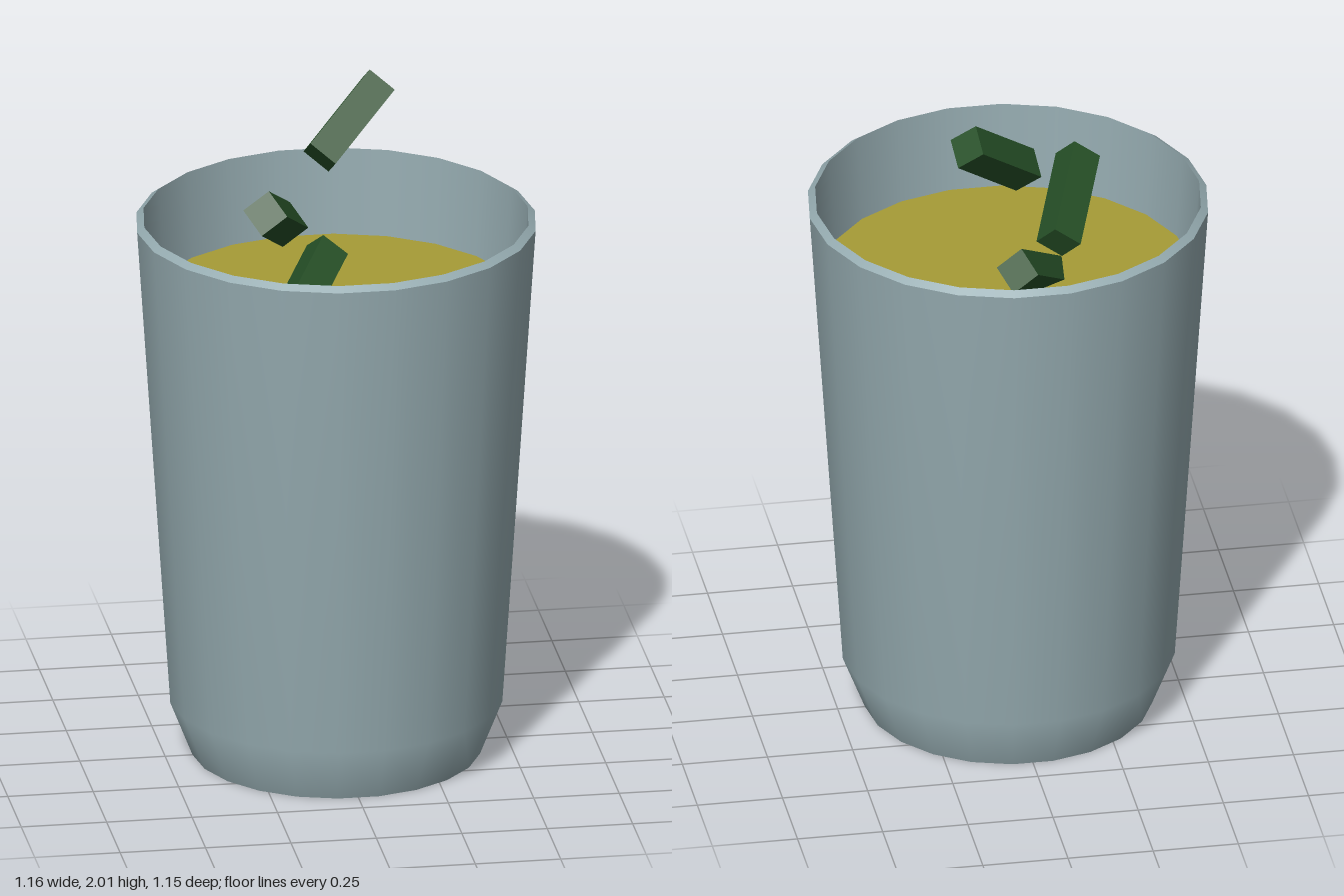
import * as THREE from 'three';

const SIDES = 22;

export function createModel() {
  const model = new THREE.Group();
  const material = (name, color) => {
    const m = new THREE.MeshStandardMaterial({ color });
    m.name = name;
    return m;
  };
  const cupGrey = material('cup grey', 0x95abb0);
  const liquidYellow = material('liquid yellow', 0xa69c36);
  const stickGreen = material('stick green', 0x265027);

  const add = (parent, name, geometry, mat) => {
    const mesh = new THREE.Mesh(geometry, mat);
    mesh.name = name;
    parent.add(mesh);
    return mesh;
  };

  // Cup: each smooth band is its own lathe so the creases stay sharp
  const cup = new THREE.Group();
  cup.name = 'cup';
  model.add(cup);
  const band = (name, points, mat = cupGrey) => add(cup, name,
    new THREE.LatheGeometry(points.map(([r, y]) => new THREE.Vector2(r, y)), SIDES, Math.PI / 2), mat);
  band('base', [[0, 0], [0.42, 0]]);
  band('outerWall', [[0.42, 0], [0.485, 0.165], [0.582, 1.625]]);
  band('rim', [[0.582, 1.625], [0.561, 1.64]]);
  band('innerWall', [[0.561, 1.64], [0.465, 0.18]]);
  band('innerFloor', [[0.465, 0.18], [0, 0.18]]);
  band('liquid', [[0.544, 1.38], [0, 1.38]], liquidYellow);

  // Square sticks: centre, length, long axis and one side axis
  const sticks = [
    ['upperStick', [0.066, 1.868, -0.175], 0.29, [-0.193, -0.165, 0.135], [-0.005, -0.05, -0.08]],
    ['leaningStick', [-0.172, 1.633, -0.027], 0.315, [0.103, -0.139, -0.263], [-0.075, -0.055, 0]],
    ['dippedStick', [-0.077, 1.403, -0.049], 0.305, [-0.15, -0.15, 0.21], [-0.037, -0.053, -0.064]],
  ];
  for (const [name, centre, length, axis, side] of sticks) {
    const d = new THREE.Vector3(...axis).normalize();
    const v = new THREE.Vector3().crossVectors(d, new THREE.Vector3(...side)).normalize();
    const u = new THREE.Vector3().crossVectors(v, d);
    const stick = add(model, name, new THREE.BoxGeometry(0.093, 0.093, length), stickGreen);
    stick.quaternion.setFromRotationMatrix(new THREE.Matrix4().makeBasis(u, v, d));
    stick.position.set(...centre);
  }
  return model;
}
